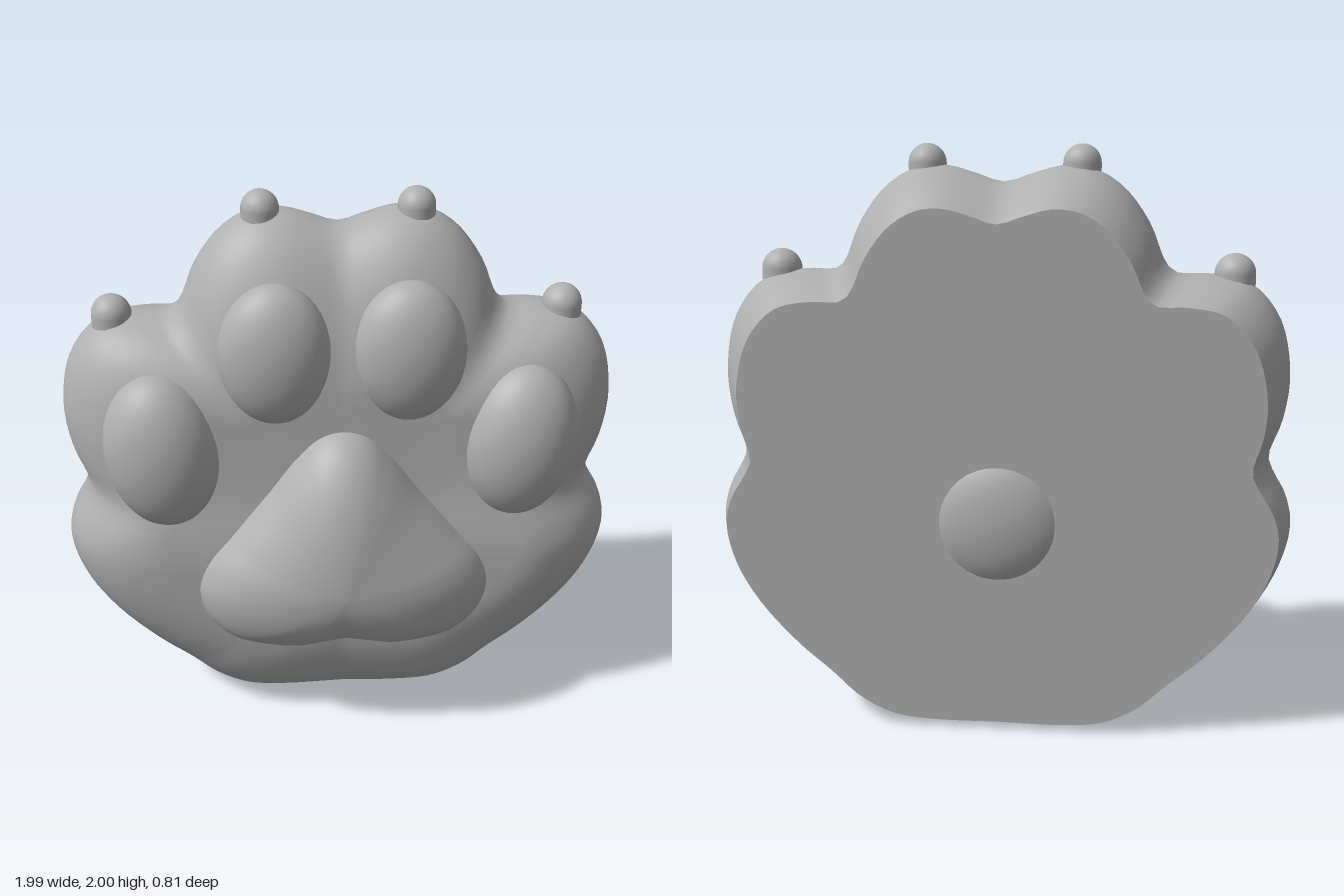
import * as THREE from 'three';

const SEGMENTS = 160;
const { smoothstep, lerp } = THREE.MathUtils;

// Closed, mirrored outline from a right-hand half listed top to bottom (runs counter-clockwise)
function outline(half) {
  const left = half.map(([x, y]) => new THREE.Vector3(-x, y, 0));
  const right = half.slice(1, -1).reverse().map(([x, y]) => new THREE.Vector3(x, y, 0));
  return new THREE.CatmullRomCurve3([...left, ...right], true, 'centripetal')
    .getSpacedPoints(SEGMENTS).slice(0, SEGMENTS);
}

// Skin between rings of equal length, each ring closed
function loft(rings) {
  const n = rings[0].length, index = [];
  for (let i = 0; i < rings.length - 1; i++) {
    for (let j = 0; j < n; j++) {
      const k = (j + 1) % n;
      const a = i * n + j, b = i * n + k, c = b + n, d = a + n;
      index.push(a, b, c, a, c, d);
    }
  }
  const geometry = new THREE.BufferGeometry().setFromPoints(rings.flat());
  geometry.setIndex(index);
  geometry.computeVertexNormals();
  return geometry;
}

// Ring drawn towards a centre height by a scale rule, with z given by a rule
function ring(points, cy, scale, depth) {
  return points.map((p) => {
    const s = scale(p), x = p.x * s, y = cy + (p.y - cy) * s;
    return new THREE.Vector3(x, y, depth(y));
  });
}

export function createModel() {
  const group = new THREE.Group();
  const grey = new THREE.MeshStandardMaterial({ color: 0xb0b0b0 });
  grey.name = 'grey';
  const add = (name, geometry, x = 0, y = 0, z = 0) => {
    const mesh = new THREE.Mesh(geometry, grey);
    mesh.name = name;
    mesh.position.set(x, y, z);
    group.add(mesh);
    return mesh;
  };

  // Paw body: toes, side lobes and heel
  const body = outline([
    [0, 1.875], [0.1, 1.905], [0.2, 1.93], [0.3, 1.92], [0.4, 1.86], [0.49, 1.74],
    [0.54, 1.62], [0.575, 1.58], [0.7, 1.575], [0.83, 1.545], [0.93, 1.43], [0.97, 1.25],
    [0.955, 1.1], [0.91, 0.96], [0.93, 0.9], [0.975, 0.82], [0.995, 0.72], [0.96, 0.58],
    [0.87, 0.43], [0.72, 0.27], [0.6, 0.17], [0.5, 0.08], [0.38, 0.02], [0.25, 0.003], [0, 0.003],
  ]);
  const cy = 0.85, backZ = -0.36, midZ = -0.12;
  const backScale = (p) => lerp(0.97, 0.88, smoothstep(p.y, 0, 1.93));
  const frontZ = (y) => lerp(0.2, 0.155, smoothstep(y, 0.7, 1.1));
  const inset = (p) => 0.58 - 0.22 * Math.abs(p.x) / Math.hypot(p.x, p.y - cy);
  const rings = [];
  for (let i = 0; i < 8; i++) {
    const t = i / 8, bulge = Math.sin(t * Math.PI / 2);
    rings.push(ring(body, cy, (p) => lerp(backScale(p), 1, bulge), () => lerp(backZ, midZ, t)));
  }
  for (let i = 0; i <= 16; i++) {
    const a = i / 16 * Math.PI / 2;
    rings.push(ring(body, cy, (p) => 1 - inset(p) * (1 - Math.cos(a)),
      (y) => lerp(midZ, frontZ(y), Math.sin(a))));
  }
  for (const f of [0.66, 0.33, 0]) {
    rings.push(ring(body, cy, (p) => (1 - inset(p)) * f, frontZ));
  }
  add('pawBody', loft(rings));

  // Flat back with a shallow dome
  add('flatBack', loft([
    ring(body, cy, () => 0, () => backZ),
    ring(body, cy, backScale, () => backZ),
  ]));
  add('backDome', new THREE.SphereGeometry(1, 40, 24), 0, 0.75, -0.3).scale.set(0.24, 0.24, 0.105);

  // Large rounded-triangle palm pad
  const palm = outline([
    [0, 1.237], [0.08, 1.215], [0.16, 1.14], [0.27, 1.0], [0.4, 0.855], [0.5, 0.74],
    [0.537, 0.63], [0.51, 0.51], [0.43, 0.42], [0.3, 0.38], [0.2, 0.37], [0.1, 0.385], [0, 0.4],
  ]);
  const palmRings = [ring(palm, 0.7, () => 1, () => 0.03)];
  for (let i = 0; i <= 18; i++) {
    const a = i / 18 * Math.PI / 2;
    palmRings.push(ring(palm, 0.7, () => Math.cos(a), () => 0.12 + 0.28 * Math.sin(a)));
  }
  add('palmPad', loft(palmRings));

  // Toe pads and claws, mirrored
  for (const [side, s] of [['left', 1], ['right', -1]]) {
    const ball = new THREE.SphereGeometry(1, 48, 32);
    const inner = add(`${side}InnerToePad`, ball, s * 0.225, 1.5, 0.1);
    inner.scale.set(0.192, 0.252, 0.128);
    const outer = add(`${side}OuterToePad`, ball, s * 0.617, 1.152, 0.1);
    outer.scale.set(0.202, 0.29, 0.162);
    outer.rotation.z = -s * 0.1;
    add(`${side}InnerClaw`, new THREE.CapsuleGeometry(0.064, 0.05, 12, 28), s * 0.26, 1.911, -0.11);
    add(`${side}OuterClaw`, new THREE.CapsuleGeometry(0.069, 0.05, 12, 28), s * 0.775, 1.55, -0.11);
  }
  return group;
}
